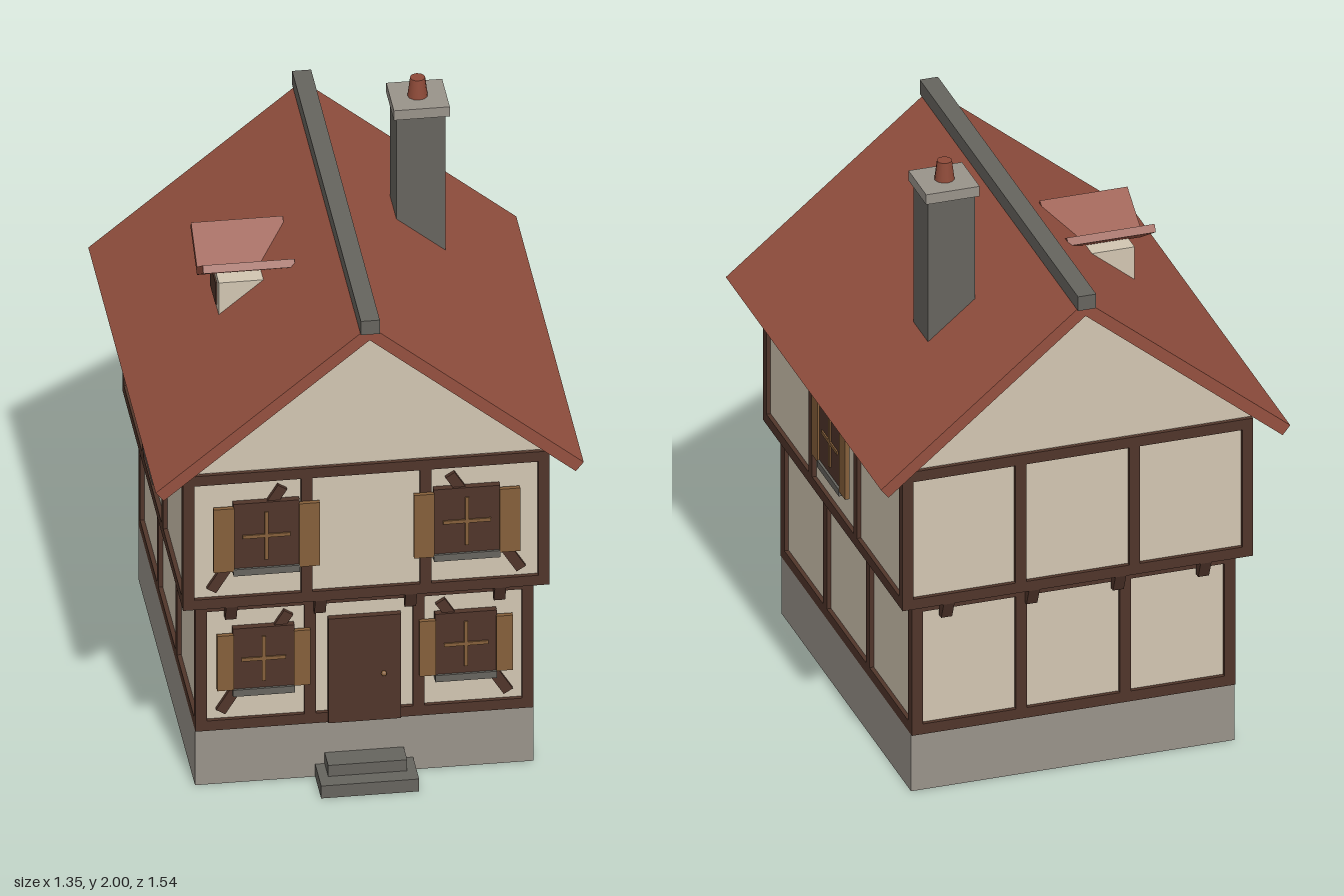
import * as THREE from 'three';

const mat = (name, color) => Object.assign(new THREE.MeshStandardMaterial({ color }), { name });

export function createModel() {
  const plaster = mat('plaster', 0xd2c6b2), stone = mat('stone', 0x99938a), slate = mat('darkStone', 0x66645e);
  const timber = mat('timber', 0x50352a), tile = mat('roofTile', 0x94503f), wood = mat('shutterWood', 0x855f3a);
  const pot = mat('terracotta', 0x8e4a38);
  const house = new THREE.Group();
  house.name = 'house';

  const add = (parent, name, geo, material) => {
    const m = new THREE.Mesh(geo, material);
    m.name = name;
    parent.add(m);
    return m;
  };
  // Box given by its lower and upper limits on each axis
  const box = (parent, name, material, x0, x1, y0, y1, z0, z1) => {
    const m = add(parent, name, new THREE.BoxGeometry(x1 - x0, y1 - y0, z1 - z0), material);
    m.position.set((x0 + x1) / 2, (y0 + y1) / 2, (z0 + z1) / 2);
    return m;
  };
  // Prism with an outline in x and y, centred on z = 0
  const prism = (parent, name, material, pts, depth) => {
    const shape = new THREE.Shape(pts.map(([x, y]) => new THREE.Vector2(x, y)));
    const geo = new THREE.ExtrudeGeometry(shape, { depth, bevelEnabled: false });
    return add(parent, name, geo.translate(0, 0, -depth / 2), material);
  };

  // Foundation and doorstep
  box(house, 'foundation', stone, -0.535, 0.535, 0, 0.2, -0.63, 0.63);
  box(house, 'lowerStep', slate, -0.155, 0.155, 0, 0.045, 0.6, 0.765);
  box(house, 'upperStep', slate, -0.125, 0.125, 0.045, 0.085, 0.6, 0.71);

  // One timber-framed storey: plaster core, rails all round, posts on each side
  const storey = (name, hx, hz, y0, y1, inset, innerX, innerZ) => {
    const g = new THREE.Group();
    g.name = name;
    house.add(g);
    const t = 0.036;
    box(g, 'plasterWall', plaster, -hx + inset, hx - inset, y0, y1, -hz + inset, hz - inset);
    for (const [a, b] of [[y0, y0 + t], [y1 - t, y1]]) {
      for (const s of [-1, 1]) {
        const z = s * (hz - t / 2), x = s * (hx - t / 2);
        box(g, 'rail', timber, -hx, hx, a, b, z - t / 2, z + t / 2);
        box(g, 'sideRail', timber, x - t / 2, x + t / 2, a, b, -hz + t, hz - t);
      }
    }
    for (const s of [-1, 1]) for (const p of [-1, 1]) {
      const cx = s * (hx - t / 2), cz = p * (hz - t / 2), r = t / 2;
      box(g, 'cornerPost', timber, cx - r, cx + r, y0 + t, y1 - t, cz - r, cz + r);
      box(g, 'post', timber, s * innerX - r, s * innerX + r, y0 + t, y1 - t, cz - r, cz + r);
      box(g, 'sidePost', timber, cx - r, cx + r, y0 + t, y1 - t, p * innerZ - r, p * innerZ + r);
    }
  };
  storey('groundFloor', 0.535, 0.638, 0.2, 0.67, 0.014, 0.172, 0.208);
  storey('upperFloor', 0.58, 0.68, 0.67, 1.157, 0.014, 0.188, 0.218);

  // Brackets under the overhanging storey, front and back
  for (const s of [-1, 1]) for (const x of [-0.425, -0.143, 0.143, 0.425]) {
    const b = prism(house, 'bracket', timber, [[0, 0.61], [0.02, 0.61], [0.045, 0.67], [0, 0.67]], 0.036);
    b.rotation.y = -s * Math.PI / 2;
    b.position.set(x, 0, s * 0.633);
  }

  // Shuttered window, its back on local z = 0
  const shutteredWindow = (w, h, shutterW, shutterH) => {
    const g = new THREE.Group();
    g.name = 'window';
    house.add(g);
    box(g, 'windowPanel', timber, -w / 2, w / 2, -h / 2, h / 2, 0, 0.022);
    box(g, 'mullion', wood, -0.006, 0.006, -h * 0.36, h * 0.36, 0.02, 0.027);
    box(g, 'glazingBar', wood, -w * 0.36, w * 0.36, -0.006, 0.006, 0.02, 0.027);
    box(g, 'sill', slate, -w / 2, w / 2, -h / 2 - 0.018, -h / 2 + 0.006, 0, 0.03);
    for (const s of [-1, 1]) {
      const x = s * (w / 2 + shutterW / 2 - 0.002);
      box(g, 'shutter', wood, x - shutterW / 2, x + shutterW / 2, -shutterH / 2 - 0.006, shutterH / 2 - 0.006, 0.014, 0.029);
    }
    return g;
  };
  // Diagonal brace between two points on the front wall
  const brace = (x0, y0, x1, y1, z) => {
    const m = add(house, 'brace', new THREE.BoxGeometry(Math.hypot(x1 - x0, y1 - y0), 0.034, 0.014), timber);
    m.position.set((x0 + x1) / 2, (y0 + y1) / 2, z);
    m.rotation.z = Math.atan2(y1 - y0, x1 - x0);
  };
  for (const s of [-1, 1]) {
    shutteredWindow(0.21, 0.24, 0.065, 0.23).position.set(s * 0.317, 0.93, 0.666);
    shutteredWindow(0.195, 0.225, 0.052, 0.2).position.set(s * 0.32, 0.457, 0.624);
    const side = shutteredWindow(0.21, 0.24, 0.06, 0.23);
    side.position.set(s * 0.566, 0.93, 0);
    side.rotation.y = s * Math.PI / 2;
    brace(s * 0.49, 0.735, s * 0.265, 1.095, 0.673);
    brace(s * 0.455, 0.265, s * 0.24, 0.61, 0.631);
  }

  // Door
  box(house, 'door', timber, -0.115, 0.115, 0.2, 0.58, 0.62, 0.645);
  const knob = add(house, 'doorKnob', new THREE.SphereGeometry(0.009, 10, 8), wood);
  knob.position.set(0.06, 0.37, 0.649);

  // Gables and the rafters along their edges
  prism(house, 'gable', plaster, [[-0.58, 1.157], [0.58, 1.157], [0, 1.66]], 1.33);
  for (const s of [-1, 1]) for (const p of [-1, 1]) {
    const r = prism(house, 'rafter', timber,
      [[0, 1.645], [0, 1.665], [s * 0.605, 1.165], [s * 0.585, 1.157]], 0.03);
    r.position.z = p * 0.662;
  }

  // Main roof slopes and ridge
  for (const s of [-1, 1]) {
    prism(house, 'roofSlope', tile, [[0, 1.655], [s * 0.652, 1.122], [s * 0.677, 1.153], [0, 1.706]], 1.51);
  }
  box(house, 'ridge', slate, -0.03, 0.03, 1.685, 1.735, -0.77, 0.77);

  // Chimney
  box(house, 'chimney', slate, 0.215, 0.37, 1.3, 1.9, -0.31, -0.17);
  box(house, 'chimneyCap', stone, 0.205, 0.382, 1.9, 1.935, -0.327, -0.155);
  const flue = add(house, 'chimneyPot', new THREE.CylinderGeometry(0.024, 0.033, 0.07, 12), pot);
  flue.position.set(0.292, 1.965, -0.241);

  // Dormer with two roof plates rising outward from a central valley
  const dormer = new THREE.Group();
  dormer.name = 'dormer';
  house.add(dormer);
  box(dormer, 'dormerWall', plaster, -0.385, -0.2, 1.34, 1.507, -0.1, 0.1);
  box(dormer, 'dormerWindow', timber, -0.39, -0.384, 1.405, 1.485, -0.06, 0.06);
  for (const s of [-1, 1]) {
    const plate = prism(dormer, 'dormerRoof', tile,
      [[0, 1.482], [s * 0.145, 1.572], [s * 0.132, 1.595], [0, 1.511]], 0.29);
    plate.rotation.y = Math.PI / 2;
    plate.position.x = -0.295;
  }
  return house;
}
